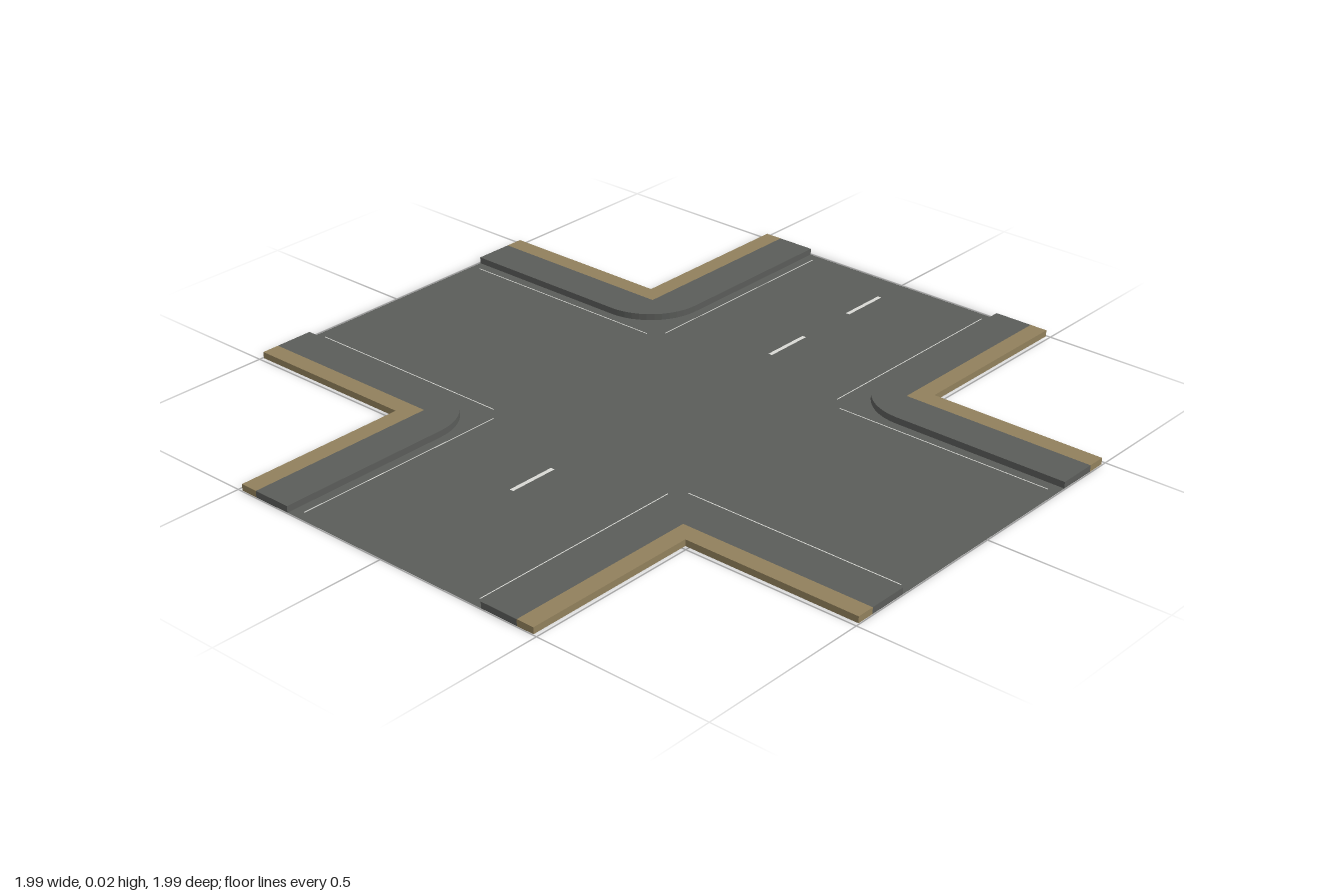
import * as THREE from 'three';

const HEIGHT = 0.018;   // raised walkway height
const ROAD = 0.325;     // half width of the carriageway
const VERGE = 0.437;    // where paving meets the verge
const EDGE = 0.488;     // outer limit of the verge
const END = 0.997;      // end of each arm
const RADIUS = EDGE - ROAD;

const asphalt = new THREE.MeshStandardMaterial({ name: 'asphalt', color: 0x5a5c59, side: THREE.DoubleSide });
const sand = new THREE.MeshStandardMaterial({ name: 'sand', color: 0x91805c });
const white = new THREE.MeshStandardMaterial({ name: 'white paint', color: 0xd8d8d4 });

function polygon(points) {
  return new THREE.Shape(points.map(([x, y]) => new THREE.Vector2(x, y)));
}

// Points of the rounded kerb, from the +x arm round to the +y arm
function kerbLine() {
  const points = [[END, ROAD]];
  for (let i = 0; i <= 12; i++) {
    const a = Math.PI * (1.5 - 0.5 * i / 12);
    points.push([EDGE + RADIUS * Math.cos(a), EDGE + RADIUS * Math.sin(a)]);
  }
  points.push([ROAD, END]);
  return points;
}

function slab(points) {
  const g = new THREE.ExtrudeGeometry(polygon(points), { depth: HEIGHT, bevelEnabled: false });
  return g.rotateX(-Math.PI / 2);
}

export function createModel() {
  const model = new THREE.Group();
  model.name = 'crossroads';
  const add = (parent, name, geometry, material) => {
    const mesh = new THREE.Mesh(geometry, material);
    mesh.name = name;
    parent.add(mesh);
    return mesh;
  };

  // Cross-shaped road sheet: the kerb line turned through four quarters
  const outline = [];
  for (let q = 0; q < 4; q++) {
    const c = Math.round(Math.cos(q * Math.PI / 2)), s = Math.round(Math.sin(q * Math.PI / 2));
    kerbLine().forEach(([x, y]) => outline.push([x * c - y * s, x * s + y * c]));
  }
  add(model, 'road', new THREE.ShapeGeometry(polygon(outline)).rotateX(-Math.PI / 2), asphalt);

  // Raised corners: paved walkway with a sandy verge along its outside
  const walkway = slab([...kerbLine(), [VERGE, END], [VERGE, VERGE], [END, VERGE]]);
  const verge = slab([[END, VERGE], [END, EDGE], [EDGE, EDGE], [EDGE, END], [VERGE, END], [VERGE, VERGE]]);
  for (let q = 0; q < 4; q++) {
    const corner = new THREE.Group();
    corner.name = 'corner' + (q + 1);
    corner.rotation.y = q * Math.PI / 2;
    add(corner, 'walkway', walkway, asphalt);
    add(corner, 'verge', verge, sand);
    model.add(corner);
  }

  // Painted lines, laid just above the road
  const paint = (name, width, depth, x, z) =>
    add(model, name, new THREE.PlaneGeometry(width, depth).rotateX(-Math.PI / 2), white).position.set(x, 0.001, z);
  for (const side of [-1, 1]) {
    for (const end of [-1, 1]) {
      paint('edgeLineAcross', 0.64, 0.003, end * 0.65, side * 0.295);
      paint('edgeLineAlong', 0.003, 0.64, side * 0.295, end * 0.65);
    }
  }
  for (const x of [-0.495, 0.49, 0.825]) paint('centreDash', 0.145, 0.012, x, 0);

  return model;
}
